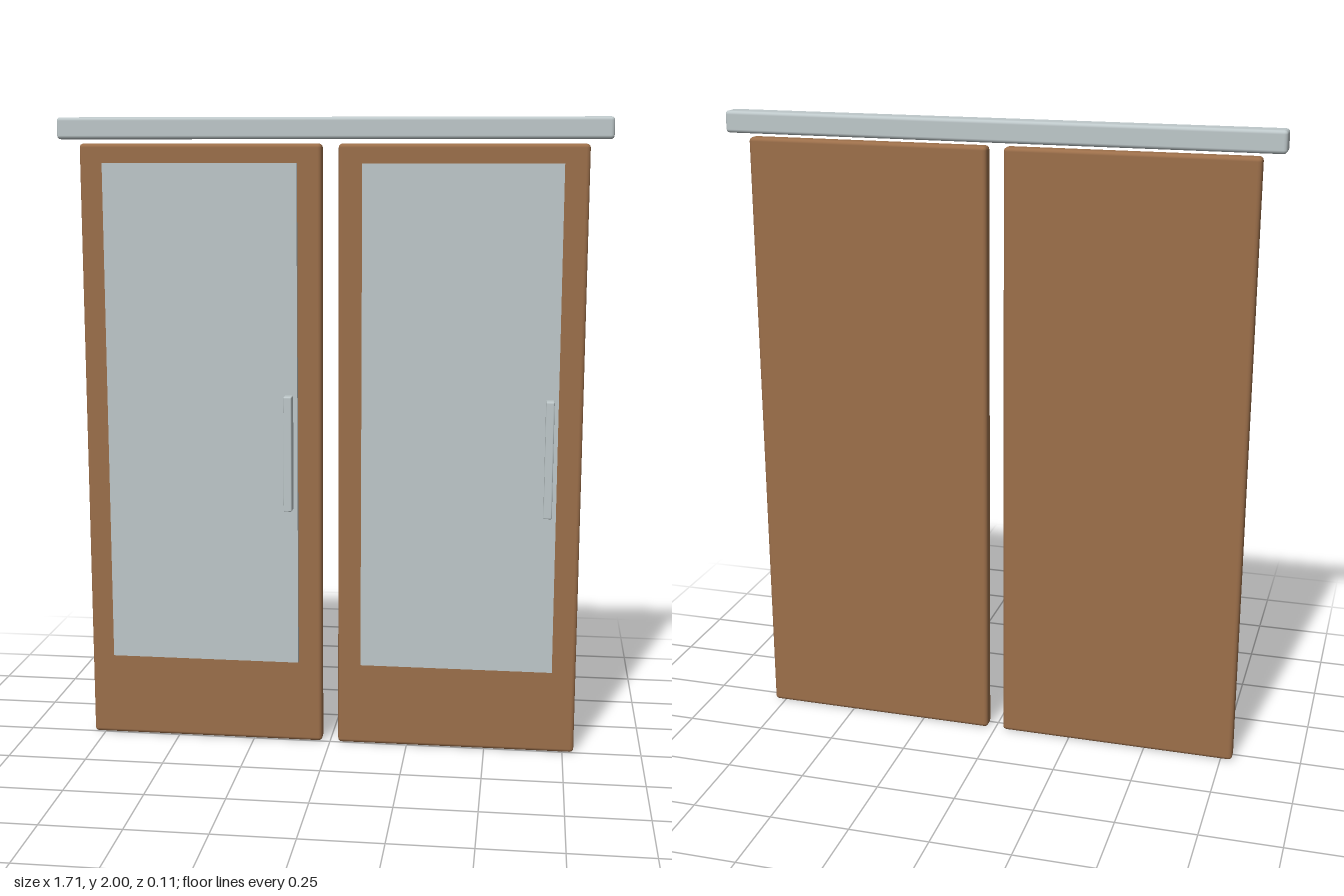
import * as THREE from 'three';
import { RoundedBoxGeometry } from 'three/addons/geometries/RoundedBoxGeometry.js';

// Box given by its min and max corners, with optional softened edges
function block(name, material, min, max, radius = 0) {
  const size = max.map((v, i) => v - min[i]);
  const geometry = radius
    ? new RoundedBoxGeometry(...size, 2, radius)
    : new THREE.BoxGeometry(...size);
  const mesh = new THREE.Mesh(geometry, material);
  mesh.name = name;
  mesh.position.set(...max.map((v, i) => (v + min[i]) / 2));
  return mesh;
}

export function createModel() {
  const wood = new THREE.MeshStandardMaterial({ color: 0x9c6f4a });
  wood.name = 'wood';
  const paleGrey = new THREE.MeshStandardMaterial({ color: 0xbec8ca });
  paleGrey.name = 'pale grey';

  const model = new THREE.Group();
  model.name = 'slidingDoors';

  // Overhead track
  model.add(block('rail', paleGrey, [-0.855, 1.933, -0.057], [0.855, 2, 0.009], 0.011));

  // Two identical door leaves, handles on the same side of each
  for (const [name, x] of [['rightDoor', -0.406], ['leftDoor', 0.406]]) {
    const door = new THREE.Group();
    door.name = name;
    door.position.x = x;
    door.add(
      block('doorLeaf', wood, [-0.38, 0, -0.044], [0.38, 1.92, 0.003], 0.012),
      block('glassPanel', paleGrey, [-0.305, 0.27, 0], [0.305, 1.861, 0.017]),
      block('handle', paleGrey, [0.266, 0.778, 0.012], [0.292, 1.144, 0.057], 0.004),
    );
    model.add(door);
  }
  return model;
}
